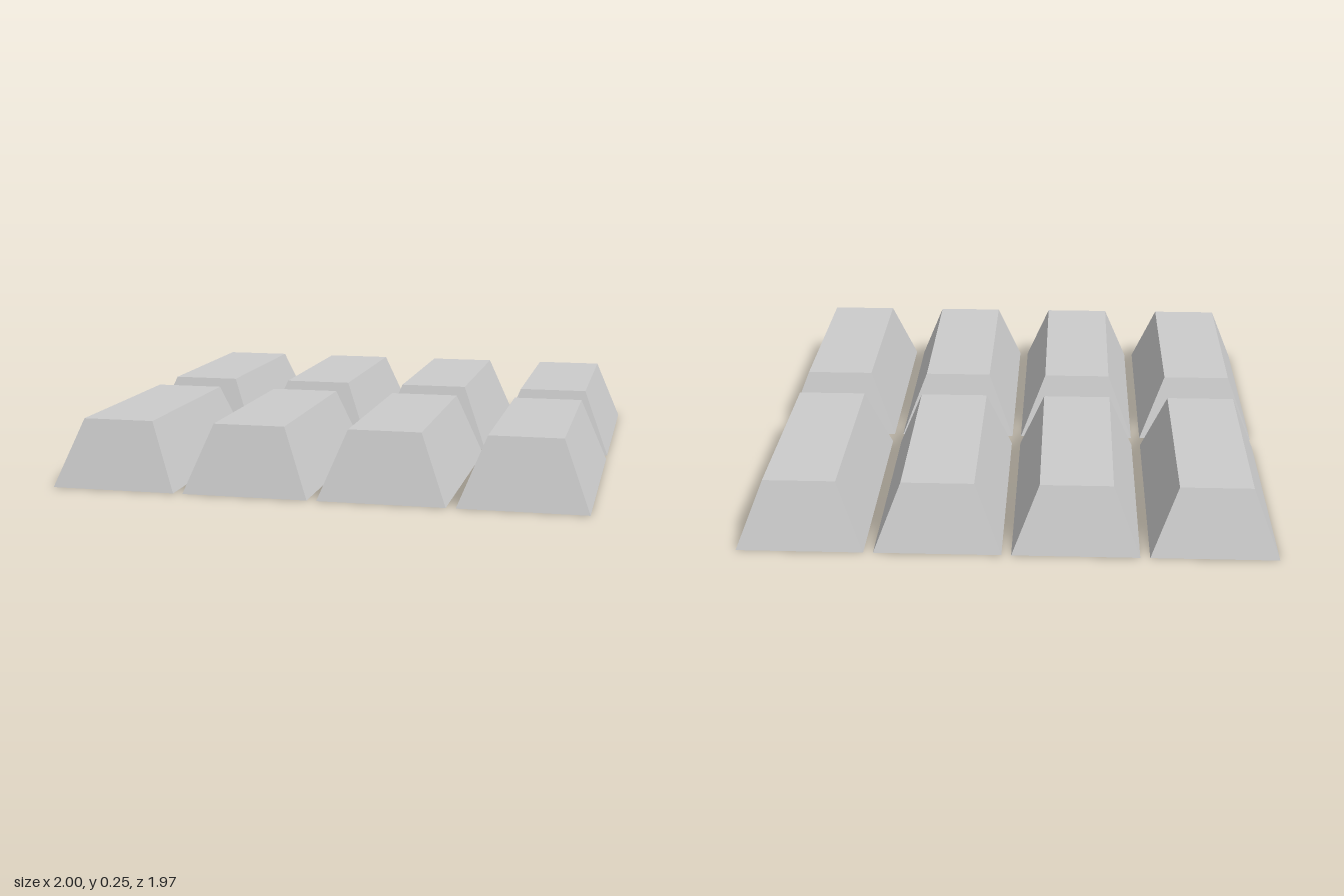
import * as THREE from 'three';

const WIDTH = 0.473, LENGTH = 0.948, HEIGHT = 0.254;
const TOP_WIDTH = 0.27, TOP_LENGTH = 0.8;
const COLUMN_STEP = 0.509, ROW_STEP = 1.02;

// One cast bar: a box whose upper corners are drawn in to a smaller rectangle
function barGeometry() {
  const geometry = new THREE.BoxGeometry(WIDTH, HEIGHT, LENGTH);
  geometry.translate(0, HEIGHT / 2, 0);
  const p = geometry.attributes.position;
  for (let i = 0; i < p.count; i++) {
    if (p.getY(i) < HEIGHT / 2) continue;
    p.setX(i, Math.sign(p.getX(i)) * TOP_WIDTH / 2);
    p.setZ(i, Math.sign(p.getZ(i)) * TOP_LENGTH / 2);
  }
  geometry.computeVertexNormals();
  return geometry;
}

export function createModel() {
  const group = new THREE.Group();
  group.name = 'barStack';
  const geometry = barGeometry();
  const material = new THREE.MeshStandardMaterial({ color: 0xcccccc, flatShading: true });

  // Two rows of four bars
  for (let row = 0; row < 2; row++) {
    for (let column = 0; column < 4; column++) {
      const bar = new THREE.Mesh(geometry, material);
      bar.name = `bar${row * 4 + column + 1}`;
      bar.position.set((column - 1.5) * COLUMN_STEP, 0, (row - 0.5) * ROW_STEP);
      group.add(bar);
    }
  }
  return group;
}
